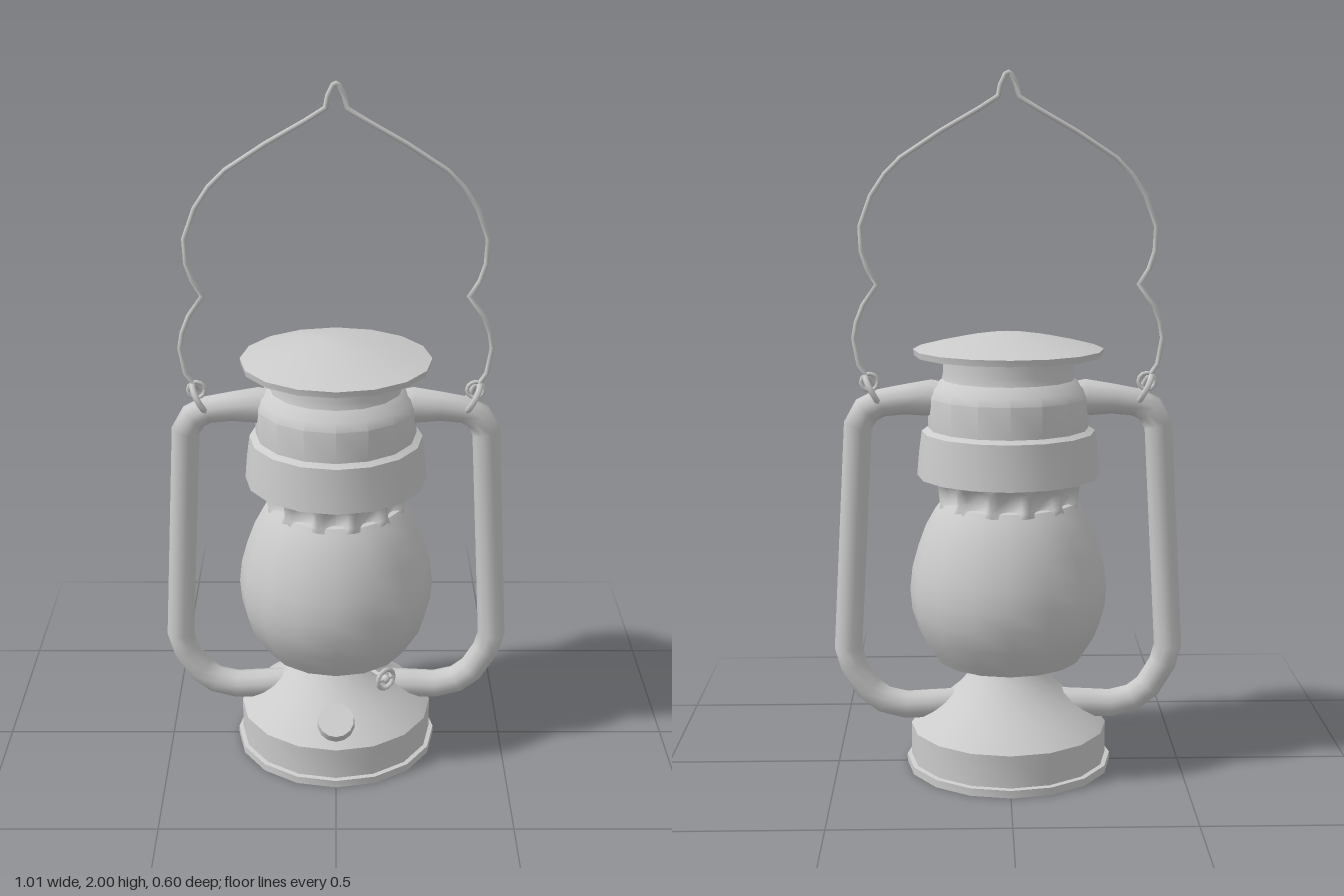
import * as THREE from 'three';
import { toCreasedNormals } from 'three/addons/utils/BufferGeometryUtils.js';

const material = new THREE.MeshStandardMaterial({ color: 0xcccccc, side: THREE.DoubleSide });
const v2 = (p) => new THREE.Vector2(p[0], p[1]);

function mesh(name, geometry, parent) {
  const m = new THREE.Mesh(geometry, material);
  m.name = name;
  parent.add(m);
  return m;
}

// Turned part: [radius, height] points, 16 sides, crisp at the profile corners
function turned(name, profile, parent) {
  const g = new THREE.LatheGeometry(profile.map(v2), 16);
  return mesh(name, toCreasedNormals(g, 0.55), parent);
}

// Pipe swept along a path in the xy plane, mitred at each bend: [x, y, radius]
function sweep(path, sides) {
  const pos = [], idx = [], pts = path.map(v2), last = path.length - 1;
  for (let i = 0; i <= last; i++) {
    const t0 = pts[Math.max(i, 1)].clone().sub(pts[Math.max(i, 1) - 1]).normalize();
    const k = Math.min(i, last - 1);
    const t1 = pts[k + 1].clone().sub(pts[k]).normalize();
    const t = t0.clone().add(t1).normalize();
    const miter = 1 / Math.max(0.6, t.dot(t0)), r = path[i][2];
    for (let j = 0; j < sides; j++) {
      const a = (j / sides) * Math.PI * 2, c = Math.cos(a) * r * miter;
      pos.push(pts[i].x - t.y * c, pts[i].y + t.x * c, Math.sin(a) * r);
      if (i === last) continue;
      const A = i * sides + j, B = i * sides + (j + 1) % sides;
      idx.push(A, B, A + sides, B, B + sides, A + sides);
    }
  }
  const g = new THREE.BufferGeometry();
  g.setAttribute('position', new THREE.Float32BufferAttribute(pos, 3));
  g.setIndex(idx);
  g.computeVertexNormals();
  return g;
}

export function createModel() {
  const lantern = new THREE.Group();
  lantern.name = 'lantern';

  // Fuel tank with foot rim and conical shoulder
  turned('fuelTank', [[0, 0], [0.298, 0], [0.298, 0.022], [0.285, 0.024], [0.285, 0.118],
    [0.268, 0.133], [0.205, 0.18], [0.15, 0.228], [0.11, 0.275], [0.09, 0.31], [0.09, 0.34]], lantern);

  // Glass globe
  turned('globe', [[0.085, 0.318], [0.21, 0.322], [0.225, 0.345], [0.262, 0.405], [0.28, 0.465],
    [0.285, 0.525], [0.278, 0.59], [0.26, 0.655], [0.238, 0.715], [0.21, 0.765], [0.195, 0.785],
    [0.17, 0.79]], lantern);

  // Vent collar: a ring with twelve round dents
  const collar = new THREE.CylinderGeometry(0.212, 0.2, 0.11, 72, 8, true);
  const p = collar.attributes.position;
  for (let i = 0; i < p.count; i++) {
    const x = p.getX(i), y = p.getY(i), z = p.getZ(i);
    const step = Math.PI / 6, a = Math.atan2(x, z);
    const off = (a - Math.round(a / step) * step) * 0.2;
    const d = Math.min(1, Math.hypot(off, y) / 0.046);
    const s = 1 - 0.16 * Math.sqrt(1 - d * d);
    p.setXYZ(i, x * s, y, z * s);
  }
  collar.computeVertexNormals();
  mesh('ventCollar', collar, lantern).position.y = 0.815;

  // Hood, chimney and domed cap
  turned('hood', [[0.19, 0.865], [0.262, 0.862], [0.256, 0.93], [0.248, 0.99], [0.23, 1.0],
    [0.23, 1.09], [0.218, 1.115], [0.19, 1.14], [0.186, 1.16], [0.186, 1.215]], lantern);
  turned('chimneyCap', [[0, 1.207], [0.268, 1.207], [0.271, 1.225], [0.2, 1.243], [0.13, 1.258],
    [0.06, 1.269], [0, 1.273]], lantern);

  // Side pipe, eyelet and handle loop, repeated by a half turn
  const pipe = sweep([[0.17, 1.07, 0.056], [0.225, 1.085, 0.052], [0.3, 1.08, 0.043],
    [0.365, 1.07, 0.04], [0.405, 1.05, 0.04], [0.43, 1.005, 0.04], [0.467, 0.35, 0.04],
    [0.452, 0.295, 0.04], [0.41, 0.225, 0.04], [0.365, 0.19, 0.04], [0.3, 0.173, 0.041],
    [0.23, 0.176, 0.042], [0.15, 0.18, 0.042]], 10);
  for (const side of ['left', 'right']) {
    const frame = new THREE.Group();
    frame.name = side + 'Frame';
    if (side === 'right') frame.rotation.y = Math.PI;
    mesh(side + 'Pipe', pipe, frame);
    const eyelet = mesh(side + 'Eyelet', new THREE.TorusGeometry(0.045, 0.009, 6, 14), frame);
    eyelet.position.set(0.385, 1.105, 0);
    eyelet.rotation.set(0, Math.PI / 2, 0);
    eyelet.rotateX(0.5);
    const loop = mesh(side + 'HandleLoop', new THREE.TorusGeometry(0.024, 0.006, 6, 12), frame);
    loop.position.set(0.395, 1.13, 0);
    lantern.add(frame);
  }

  // Bent wire handle, one half mirrored into a single path
  const half = [[0.405, 1.15], [0.425, 1.18], [0.438, 1.255], [0.43, 1.3], [0.41, 1.35],
    [0.37, 1.407], [0.397, 1.45], [0.413, 1.5], [0.416, 1.57], [0.385, 1.655], [0.345, 1.715],
    [0.3, 1.76], [0.19, 1.832], [0.08, 1.895], [0.028, 1.928], [0.022, 1.96], [0.008, 1.988]];
  const wire = [...half, [0, 1.992], ...half.map(([x, y]) => [-x, y]).reverse()];
  mesh('handle', sweep(wire.map(([x, y]) => [x, y, 0.007]), 6), lantern);

  // Filler cap leaning out of the tank shoulder
  const filler = new THREE.Group();
  filler.name = 'fillerCap';
  filler.position.set(0, 0.183, 0.235);
  filler.rotation.x = 0.64;
  const lid = new THREE.CylinderGeometry(0.052, 0.055, 0.03, 14);
  mesh('fillerLid', toCreasedNormals(lid, 0.6), filler);
  mesh('fillerNeck', new THREE.CylinderGeometry(0.036, 0.036, 0.07, 12), filler).position.y = -0.04;
  lantern.add(filler);

  // Wick winder: thin shaft ending in a ring
  const winder = new THREE.Group();
  winder.name = 'wickWinder';
  winder.position.set(0.145, 0.295, 0.18);
  winder.rotation.y = Math.atan2(0.1, 0.125);
  mesh('winderRing', new THREE.TorusGeometry(0.03, 0.007, 6, 14), winder);
  mesh('winderHub', new THREE.SphereGeometry(0.013, 8, 6), winder);
  const shaft = mesh('winderShaft', new THREE.CylinderGeometry(0.007, 0.007, 0.16, 8), winder);
  shaft.rotation.x = Math.PI / 2;
  shaft.position.z = -0.08;
  const spoke = mesh('winderSpoke', new THREE.CylinderGeometry(0.005, 0.005, 0.06, 6), winder);
  spoke.rotation.z = Math.PI / 2;
  lantern.add(winder);

  return lantern;
}
